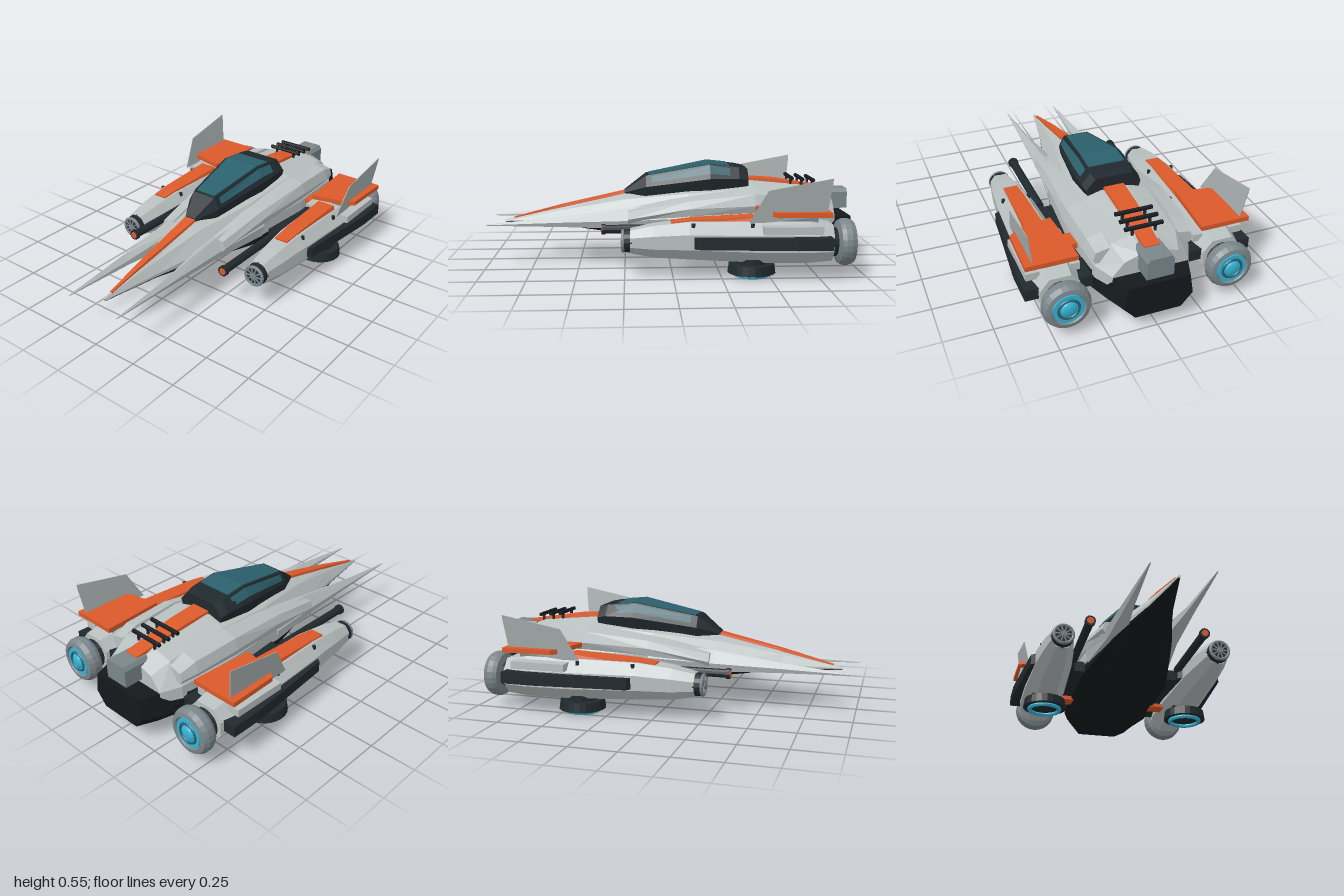
import * as THREE from 'three';

const mat = (color, extra = {}) => new THREE.MeshStandardMaterial({ color, flatShading: true, ...extra });
const LIGHT = mat(0xb9c0c0), MID = mat(0x7b868b), DARK = mat(0x20292e), BLACK = mat(0x14191c);
const ORANGE = mat(0xdb5a2a), GLASS = mat(0x2b606c), CYAN = mat(0x35b4d6);
const FIN = mat(0xa9b0b0, { side: THREE.DoubleSide });

function add(parent, name, geo, material, x = 0, y = 0, z = 0) {
  const m = new THREE.Mesh(geo, material);
  m.name = name;
  m.position.set(x, y, z);
  parent.add(m);
  return m;
}
const box = (w, h, d) => new THREE.BoxGeometry(w, h, d);
const rod = (r1, r2, len, n = 12) => new THREE.CylinderGeometry(r1, r2, len, n).rotateX(Math.PI / 2);

// Skin through closed rings [z, [[x, y], ...]], front to back, counter-clockwise seen from the front
function loft(rings) {
  const pos = [], idx = [], n = rings[0][1].length;
  for (const [z, pts] of rings) for (const [x, y] of pts) pos.push(x, y, z);
  for (let i = 0; i < rings.length - 1; i++) {
    for (let j = 0; j < n; j++) {
      const a = i * n + j, b = i * n + (j + 1) % n, d = a + n, c = b + n;
      idx.push(a, d, c, a, c, b);
    }
  }
  [0, rings.length - 1].forEach((r, back) => {
    const [z, pts] = rings[r], c = pos.length / 3;
    pos.push(pts.reduce((s, p) => s + p[0], 0) / n, pts.reduce((s, p) => s + p[1], 0) / n, z);
    for (let j = 0; j < n; j++) {
      const a = r * n + j, b = r * n + (j + 1) % n;
      if (back) idx.push(c, b, a); else idx.push(c, a, b);
    }
  });
  const g = new THREE.BufferGeometry();
  g.setAttribute('position', new THREE.Float32BufferAttribute(pos, 3));
  g.setIndex(idx);
  const flat = g.toNonIndexed();
  flat.computeVertexNormals();
  return flat;
}
// Half profiles, listed bottom to top on +x, are mirrored into full rings
const mirrorLoft = (rings) => loft(rings.map(([z, half]) =>
  [z, [...half, ...half.slice().reverse().map(([x, y]) => [-x, y])]]));

// Flat plate from [x, z] corners, extruded upward from y = 0
function plate(pts, h) {
  const s = new THREE.Shape(pts.map(([x, z]) => new THREE.Vector2(x, -z)));
  return new THREE.ExtrudeGeometry(s, { depth: h, bevelEnabled: false }).rotateX(-Math.PI / 2);
}

function buildBody(g) {
  add(g, 'upperHull', mirrorLoft([
    [0.92, [[0.004, 0.216], [0.006, 0.22], [0.004, 0.226], [0.002, 0.228]]],
    [0.6, [[0.065, 0.22], [0.065, 0.235], [0.035, 0.285], [0.015, 0.302]]],
    [0.25, [[0.15, 0.215], [0.15, 0.26], [0.085, 0.35], [0.03, 0.378]]],
    [-0.1, [[0.24, 0.21], [0.24, 0.28], [0.16, 0.39], [0.06, 0.42]]],
    [-0.45, [[0.27, 0.21], [0.27, 0.29], [0.18, 0.42], [0.07, 0.45]]],
    [-0.8, [[0.25, 0.21], [0.25, 0.28], [0.17, 0.39], [0.06, 0.415]]],
    [-0.9, [[0.2, 0.21], [0.2, 0.27], [0.14, 0.34], [0.05, 0.37]]],
  ]), LIGHT);

  add(g, 'underside', mirrorLoft([
    [0.915, [[0.002, 0.212], [0.005, 0.216], [0.004, 0.22]]],
    [0.6, [[0.03, 0.198], [0.06, 0.212], [0.065, 0.222]]],
    [0.25, [[0.08, 0.155], [0.16, 0.2], [0.155, 0.222]]],
    [-0.2, [[0.16, 0.1], [0.255, 0.15], [0.25, 0.222]]],
    [-0.75, [[0.18, 0.072], [0.26, 0.13], [0.26, 0.23]]],
    [-0.89, [[0.16, 0.075], [0.22, 0.14], [0.2, 0.265]]],
    [-1, [[0.12, 0.08], [0.18, 0.15], [0.16, 0.26]]],
  ]), BLACK);

  // Canopy with a glass panel laid on its sloping roof
  add(g, 'canopy', mirrorLoft([
    [0.25, [[0.025, 0.36], [0.035, 0.38], [0.03, 0.392]]],
    [0.13, [[0.09, 0.36], [0.1, 0.42], [0.07, 0.48]]],
    [-0.22, [[0.14, 0.38], [0.162, 0.47], [0.11, 0.545]]],
    [-0.38, [[0.14, 0.4], [0.158, 0.47], [0.11, 0.528]]],
    [-0.43, [[0.135, 0.4], [0.15, 0.46], [0.1, 0.518]]],
  ]), DARK);
  add(g, 'canopyGlass', mirrorLoft([
    [0.115, [[0.06, 0.47], [0.06, 0.487]]],
    [-0.22, [[0.1, 0.53], [0.1, 0.55]]],
    [-0.33, [[0.1, 0.52], [0.1, 0.538]]],
  ]), GLASS);
  for (const s of [-1, 1]) {
    add(g, 'sideWindow', loft([
      [0.1, [[0.085, 0.455], [0.1, 0.445], [0.084, 0.478]]],
      [-0.22, [[0.13, 0.5], [0.148, 0.497], [0.118, 0.54]]],
      [-0.33, [[0.13, 0.49], [0.146, 0.488], [0.118, 0.525]]],
    ].map(([z, p]) => [z, s > 0 ? p : p.map(([x, y]) => [-x, y]).reverse()])), GLASS);
  }

  // Painted stripes along the nose and spine
  add(g, 'noseStripe', mirrorLoft([
    [0.87, [[0.008, 0.22], [0.007, 0.243]]],
    [0.6, [[0.024, 0.28], [0.018, 0.312]]],
    [0.24, [[0.042, 0.35], [0.032, 0.39]]],
  ]), ORANGE);
  add(g, 'noseTip', rod(0.013, 0.003, 0.06, 6).rotateY(Math.PI), DARK, 0, 0.224, 0.89);
  add(g, 'spineStripe', mirrorLoft([
    [-0.42, [[0.06, 0.42], [0.055, 0.465]]],
    [-0.6, [[0.058, 0.41], [0.052, 0.452]]],
    [-0.9, [[0.045, 0.35], [0.04, 0.405]]],
  ]), ORANGE);
  for (const z of [-0.68, -0.74, -0.8]) {
    add(g, 'spineBar', rod(0.011, 0.011, 0.2, 8).rotateY(Math.PI / 2), BLACK, 0, 0.463 + (z + 0.68) * 0.1, z);
    for (const x of [-0.06, 0.06]) add(g, 'barPost', box(0.012, 0.05, 0.012), DARK, x, 0.435, z);
  }
  add(g, 'tailBlock', mirrorLoft([
    [-0.85, [[0.07, 0.29], [0.07, 0.38], [0.055, 0.4]]],
    [-1, [[0.07, 0.29], [0.07, 0.38], [0.055, 0.4]]],
  ]), MID);
}

function buildNacelle(g) {
  const n = new THREE.Group();
  n.name = 'nacelle';
  n.position.x = 0.43;
  g.add(n);
  // Eight-sided casing: [z, half width, bottom, top]
  add(n, 'casing', mirrorLoft([
    [0.22, 0.06, 0.13, 0.25], [0.1, 0.08, 0.11, 0.275], [-0.08, 0.1, 0.1, 0.295], [-0.45, 0.118, 0.08, 0.297],
    [-0.7, 0.118, 0.077, 0.295], [-0.82, 0.1, 0.085, 0.275],
  ].map(([z, w, b, t]) => [z, [[w * 0.5, b], [w, b + (t - b) * 0.3], [w, b + (t - b) * 0.7], [w * 0.55, t]]])), LIGHT);

  // Front intake with fan blades
  add(n, 'intakeCollar', rod(0.057, 0.062, 0.05, 16), DARK, 0, 0.19, 0.235);
  add(n, 'intakeRing', new THREE.TorusGeometry(0.052, 0.009, 8, 20), MID, 0, 0.19, 0.257);
  for (let i = 0; i < 10; i++) {
    const a = i * Math.PI / 5;
    add(n, 'fanBlade', box(0.036, 0.007, 0.008), MID, Math.cos(a) * 0.032, 0.19 + Math.sin(a) * 0.032, 0.261).rotation.z = a;
  }
  add(n, 'fanHub', rod(0.016, 0.018, 0.014), MID, 0, 0.19, 0.262);

  // Rear exhaust with glowing rings
  add(n, 'exhaustNeck', rod(0.085, 0.07, 0.08, 16), DARK, 0, 0.175, -0.835);
  const bell = [[0, 0.03], [0.08, 0.03], [0.112, 0.02], [0.122, 0], [0.122, -0.03], [0.11, -0.055], [0.088, -0.06], [0.082, -0.045], [0, -0.045]];
  add(n, 'exhaustRing', new THREE.LatheGeometry(bell.map(([r, h]) => new THREE.Vector2(r, -h)), 24).rotateX(-Math.PI / 2),
    mat(0x7b868b, { side: THREE.DoubleSide }), 0, 0.175, -0.88);
  add(n, 'exhaustGlow', rod(0.078, 0.078, 0.012, 24), CYAN, 0, 0.175, -0.93);
  add(n, 'exhaustBand', new THREE.TorusGeometry(0.052, 0.007, 6, 24), GLASS, 0, 0.175, -0.936);
  add(n, 'exhaustCore', new THREE.SphereGeometry(0.04, 16, 8).scale(1, 1, 0.4), CYAN, 0, 0.175, -0.935);

  // Lift pad under the casing
  add(n, 'liftPad', new THREE.CylinderGeometry(0.118, 0.125, 0.05, 24), DARK, 0, 0.045, -0.41);
  add(n, 'liftPadNeck', new THREE.CylinderGeometry(0.08, 0.08, 0.04, 16), DARK, 0, 0.08, -0.41);
  add(n, 'liftGlow', new THREE.TorusGeometry(0.088, 0.012, 8, 28).rotateX(Math.PI / 2), CYAN, 0, 0.012, -0.41);

  // Dark side pods and the rails above them
  for (const s of [-1, 1]) {
    const pod = [[0.07, -0.08], [0.125, -0.12], [0.172, -0.62], [0.172, -0.8], [0.07, -0.8]].map(([x, z]) => [s * x, z]);
    add(n, 'sidePod', plate(pod, 0.06), DARK, 0, 0.165, 0);
  }
  add(n, 'sideRail', box(0.07, 0.04, 0.3), LIGHT, 0.115, 0.262, -0.6);
  add(n, 'innerRail', box(0.05, 0.04, 0.3), LIGHT, -0.1, 0.262, -0.6);
  for (const [x, z] of [[-0.085, -0.4], [0.085, -0.4], [-0.07, -0.1], [0.07, -0.1]]) {
    add(n, 'rivet', new THREE.CylinderGeometry(0.01, 0.01, 0.02, 8), DARK, x, 0.28, z);
  }

  // Painted top stripe, raised flap and tail fin
  add(n, 'topStripe', mirrorLoft([
    [0.01, [[0.04, 0.27], [0.038, 0.292]]],
    [-0.1, [[0.046, 0.28], [0.043, 0.304]]],
    [-0.46, [[0.062, 0.285], [0.05, 0.32]]],
  ]), ORANGE);
  add(n, 'flapMount', box(0.12, 0.06, 0.22), MID, 0, 0.31, -0.63);
  add(n, 'flap', plate([[-0.105, -0.79], [-0.08, -0.44], [0.1, -0.48], [0.155, -0.52], [0.162, -0.79]], 0.025), ORANGE, 0, 0.33, 0);
  add(n, 'tailFin', loft([
    [-0.38, [[0.11, 0.3], [0.114, 0.3], [0.115, 0.304], [0.111, 0.304]]],
    [-0.47, [[0.11, 0.3], [0.114, 0.3], [0.137, 0.465], [0.133, 0.465]]],
    [-0.77, [[0.114, 0.33], [0.118, 0.33], [0.145, 0.521], [0.141, 0.521]]],
    [-0.79, [[0.138, 0.5], [0.142, 0.5], [0.146, 0.525], [0.142, 0.525]]],
  ]), FIN);
}

function buildSide(g) {
  // Faceted shoulder running along the hull
  add(g, 'shoulder', loft([
    [0.23, [[0.12, 0.23], [0.2, 0.23], [0.22, 0.26], [0.205, 0.3], [0.14, 0.31]]],
    [-0.1, [[0.14, 0.28], [0.245, 0.28], [0.255, 0.32], [0.235, 0.36], [0.16, 0.38]]],
    [-0.45, [[0.16, 0.3], [0.27, 0.3], [0.288, 0.34], [0.27, 0.4], [0.19, 0.425]]],
    [-0.72, [[0.16, 0.3], [0.26, 0.3], [0.28, 0.33], [0.262, 0.39], [0.18, 0.41]]],
    [-0.81, [[0.16, 0.3], [0.25, 0.3], [0.26, 0.32], [0.25, 0.36], [0.18, 0.375]]],
  ]), LIGHT);
  // Long pointed prong beside the nose
  add(g, 'prong', loft([
    [1, [[0.158, 0.223], [0.162, 0.223], [0.163, 0.226], [0.16, 0.228], [0.157, 0.226]]],
    [0.6, [[0.135, 0.215], [0.175, 0.215], [0.184, 0.24], [0.162, 0.27], [0.135, 0.24]]],
    [0.25, [[0.1, 0.205], [0.19, 0.205], [0.205, 0.25], [0.165, 0.315], [0.1, 0.28]]],
    [-0.1, [[0.1, 0.2], [0.235, 0.2], [0.25, 0.27], [0.19, 0.35], [0.1, 0.33]]],
  ]), LIGHT);
  // Gun between hull and nacelle
  add(g, 'gunBarrel', rod(0.023, 0.023, 0.5), DARK, 0.31, 0.228, 0.11);
  add(g, 'gunMuzzle', rod(0.029, 0.029, 0.02), DARK, 0.31, 0.228, 0.36);
  add(g, 'gunTip', rod(0.019, 0.019, 0.01), ORANGE, 0.31, 0.228, 0.368);
  // Struts joining nacelle to hull
  add(g, 'lowerStrut', box(0.18, 0.022, 0.09), ORANGE, 0.29, 0.138, -0.55);
  add(g, 'upperStrut', box(0.14, 0.03, 0.1), ORANGE, 0.31, 0.265, -0.55);
  add(g, 'wingRoot', box(0.15, 0.06, 0.5), DARK, 0.28, 0.195, -0.4);
  buildNacelle(g);
}

export function createModel() {
  const model = new THREE.Group();
  model.name = 'starfighter';
  buildBody(model);
  for (const s of [1, -1]) {
    const side = new THREE.Group();
    side.name = s > 0 ? 'leftSide' : 'rightSide';
    side.scale.x = s;
    buildSide(side);
    model.add(side);
  }
  return model;
}
